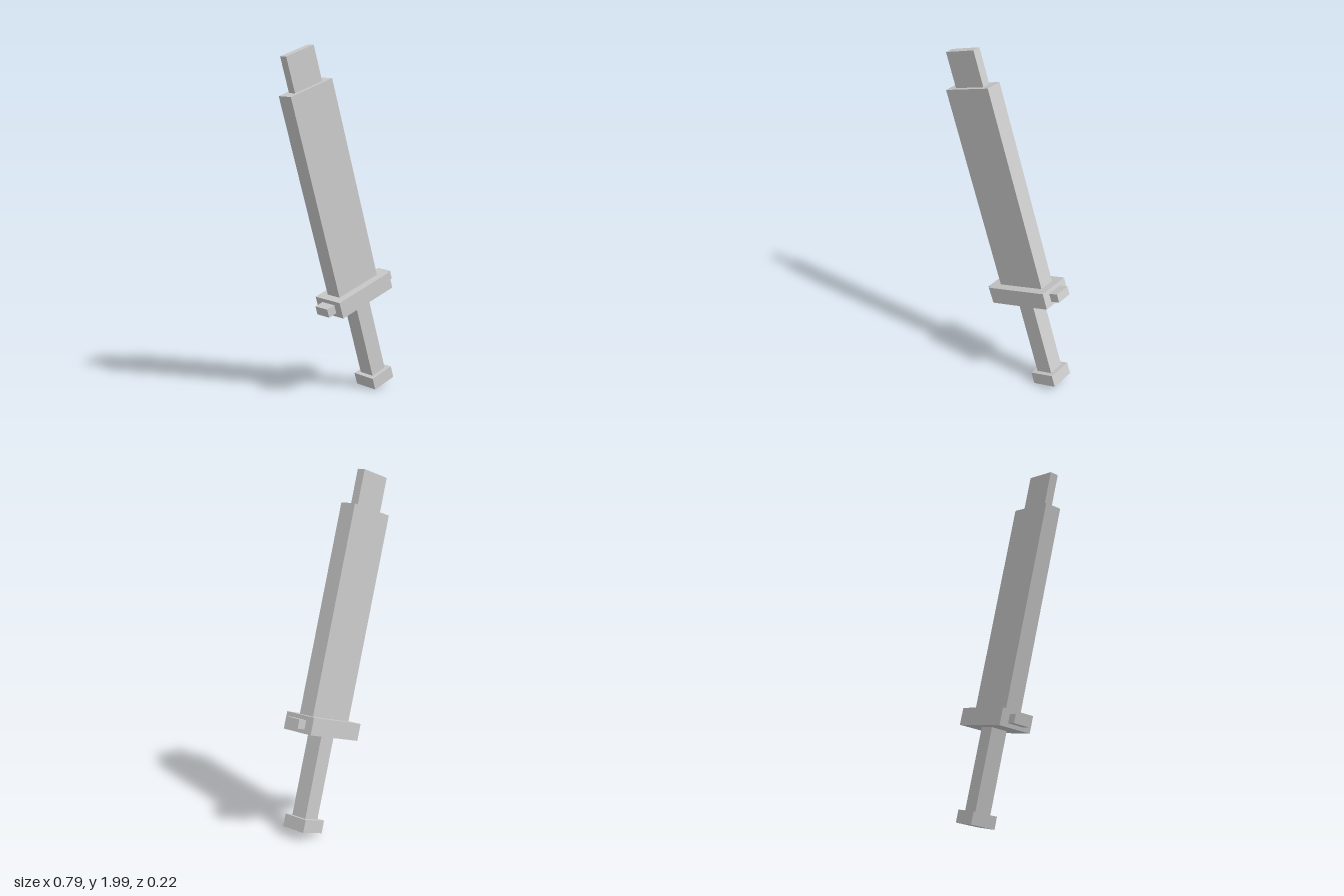
import * as THREE from 'three';

export function createModel() {
  const model = new THREE.Group();
  model.name = 'sword';
  const material = new THREE.MeshStandardMaterial({ color: 0xcccccc, flatShading: true });

  // Sword built upright, then leaned sideways and turned slightly about its own axis
  const sword = new THREE.Group();
  sword.name = 'leaningSword';
  sword.rotation.set(0, THREE.MathUtils.degToRad(-2.5), THREE.MathUtils.degToRad(17.6), 'ZYX');
  sword.position.set(0.296, 0.094, 0);
  model.add(sword);

  // Block centred on the sword axis, from height y0 to y1
  const addBlock = (name, width, depth, y0, y1, x = 0) => {
    const mesh = new THREE.Mesh(new THREE.BoxGeometry(width, y1 - y0, depth), material);
    mesh.name = name;
    mesh.position.set(x, (y0 + y1) / 2, 0);
    sword.add(mesh);
  };

  addBlock('pommel', 0.155, 0.155, -0.068, 0.004);
  addBlock('grip', 0.103, 0.1, 0.004, 0.473);
  addBlock('guard', 0.402, 0.203, 0.473, 0.571);
  addBlock('blade', 0.305, 0.1, 0.571, 1.763);
  addBlock('bladeTip', 0.2, 0.05, 1.763, 1.967);

  // Small studs on both ends of the guard
  for (const side of [-1, 1]) {
    addBlock(side > 0 ? 'leftGuardStud' : 'rightGuardStud', 0.056, 0.1, 0.496, 0.547, side * 0.229);
  }
  return model;
}
